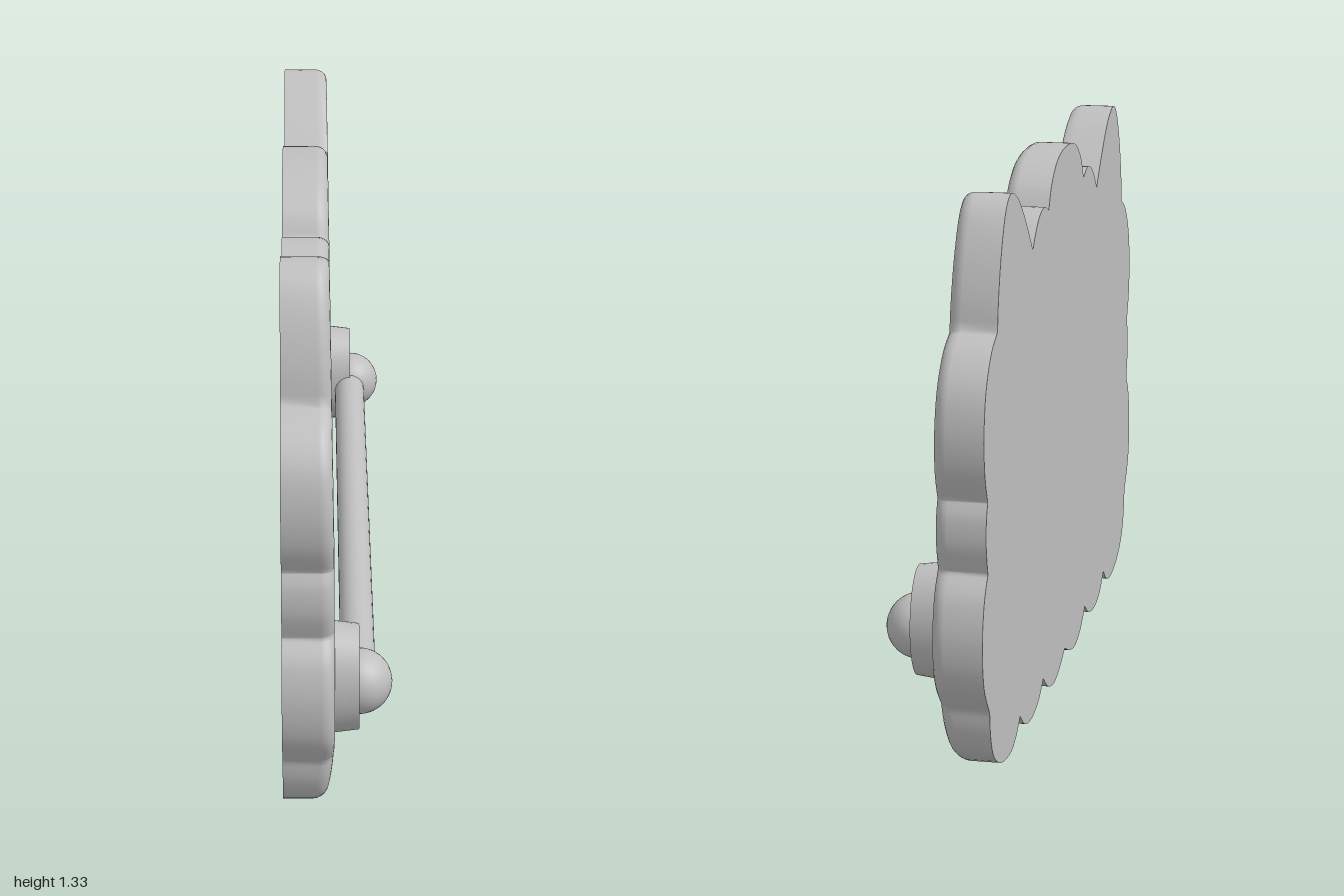
import * as THREE from 'three';

const CY = 0.585;      // height of the tray centre
const BACK = -0.127;   // flat back plane

// Scallops of one half, from top centre to bottom centre, as [z, y]
const LOBES = [
  [[0, 1.325], [0.07, 1.321], [0.14, 1.302], [0.2, 1.26], [0.235, 1.208]],
  [[0.235, 1.208], [0.29, 1.225], [0.35, 1.213], [0.4, 1.18], [0.43, 1.15]],
  [[0.43, 1.15], [0.5, 1.22], [0.58, 1.287], [0.645, 1.318], [0.695, 1.323], [0.745, 1.29], [0.79, 1.21], [0.82, 1.12], [0.832, 1.045]],
  [[0.832, 1.045], [0.9, 1.01], [0.955, 0.94], [0.977, 0.85], [0.97, 0.76], [0.94, 0.69]],
  [[0.94, 0.69], [0.955, 0.65], [0.957, 0.59], [0.94, 0.525]],
  [[0.94, 0.525], [0.98, 0.47], [1, 0.38], [0.985, 0.28], [0.925, 0.2]],
  [[0.925, 0.2], [0.915, 0.14], [0.88, 0.08], [0.8, 0.035], [0.69, 0.018], [0.62, 0.037], [0.58, 0.068]],
  [[0.58, 0.068], [0.52, 0.027], [0.44, 0.011], [0.35, 0.025], [0.29, 0.06]],
  [[0.29, 0.06], [0.23, 0.02], [0.15, 0.0], [0.07, 0.013], [0, 0.042]],
];

function makeOutline() {
  const half = [];
  for (const lobe of LOBES) {
    const pts = new THREE.SplineCurve(lobe.map(p => new THREE.Vector2(...p))).getPoints(22);
    half.push(...pts.slice(0, -1));
  }
  half.push(new THREE.Vector2(0, 0.042));
  const mirrored = half.slice(1, -1).reverse().map(p => new THREE.Vector2(-p.x, p.y));
  return [...half, ...mirrored];
}

// Front surface leans back towards the bottom and a little towards the top
function frontX(y) {
  const low = Math.max(0, (0.25 - y) / 0.25);
  const high = Math.max(0, (y - 0.7) / 0.6);
  return -0.009 - 0.03 * Math.pow(low, 1.5) - 0.009 * high;
}

// Move an outline point towards the tray centre
function inset(p, d) {
  const z = p.x, y = p.y - CY, k = 1 - d / Math.hypot(z, y);
  return [z * k, CY + y * k];
}

// Where the ray through p meets the rounded tray rectangle, shrunk by d
function trayPoint(p, d) {
  const len = Math.hypot(p.x, p.y - CY), dz = p.x / len, dy = (p.y - CY) / len;
  const r = 0.12;
  let lo = 0, hi = 1.5;
  for (let i = 0; i < 30; i++) {
    const t = (lo + hi) / 2;
    const qz = Math.abs(dz * t) - 0.77 + r, qy = Math.abs(dy * t) - 0.4 + r;
    const dist = Math.hypot(Math.max(qz, 0), Math.max(qy, 0)) + Math.min(Math.max(qz, qy), 0) - r;
    if (dist < -d) lo = t; else hi = t;
  }
  return [dz * lo, CY + dy * lo];
}

// Closed skin through rings of [x, y, z] points
function skin(rings) {
  const n = rings[0].length, index = [];
  for (let i = 0; i < rings.length - 1; i++) {
    for (let j = 0; j < n; j++) {
      const k = (j + 1) % n;
      const a = i * n + j, b = i * n + k, c = (i + 1) * n + k, d = (i + 1) * n + j;
      index.push(a, b, c, a, c, d);
    }
  }
  const geo = new THREE.BufferGeometry();
  geo.setAttribute('position', new THREE.Float32BufferAttribute(rings.flat(2), 3));
  geo.setIndex(index);
  geo.computeVertexNormals();
  return geo;
}

export function createModel() {
  const group = new THREE.Group();
  const grey = new THREE.MeshStandardMaterial({ color: 0xbfbfbf });
  grey.name = 'plain grey';
  const add = (name, geo, x = 0, y = 0, z = 0) => {
    const mesh = new THREE.Mesh(geo, grey);
    mesh.name = name;
    mesh.position.set(x, y, z);
    group.add(mesh);
    return mesh;
  };

  const outline = makeOutline();

  // Scalloped frame: side wall, rounded edge and front face
  const R = 0.03;
  const rim = [outline.map(p => [BACK, p.y, p.x])];
  for (let i = 0; i <= 5; i++) {
    const a = (i / 5) * Math.PI / 2;
    rim.push(outline.map(p => {
      const [z, y] = inset(p, R * (1 - Math.cos(a)));
      return [frontX(y) - R * (1 - Math.sin(a)), y, z];
    }));
  }
  const opening = outline.map(p => {
    const [z, y] = trayPoint(p, 0);
    return [frontX(y), y, z];
  });
  for (const t of [0.15, 0.4, 0.7]) {
    rim.push(outline.map((p, j) => {
      const [z, y] = inset(p, R);
      const yy = y + (opening[j][1] - y) * t;
      return [frontX(yy), yy, z + (opening[j][2] - z) * t];
    }));
  }
  rim.push(opening);
  add('scallopedFrame', skin(rim));

  // Flat back
  add('backPanel', skin([outline.map(() => [BACK, CY, 0]), outline.map(p => [BACK, p.y, p.x])]));

  // Dished tray
  const dish = [opening];
  for (const [d, x] of [[0.015, -0.035], [0.04, -0.058], [0.08, -0.073], [0.15, -0.081], [0.27, -0.085]]) {
    dish.push(outline.map(p => {
      const [z, y] = trayPoint(p, d);
      return [x, y, z];
    }));
  }
  dish.push(outline.map(() => [-0.087, CY, 0]));
  add('dishedTray', skin(dish));

  // Rail with a bracket and a round knob at each end
  const rail = add('rail', new THREE.CylinderGeometry(0.04, 0.04, 1.7, 32), 0.045, 0.37, 0);
  rail.rotation.x = Math.PI / 2;
  for (const side of [1, -1]) {
    const end = side > 0 ? 'left' : 'right';
    const geo = new THREE.CylinderGeometry(0.93, 1, 0.075, 40);
    geo.rotateZ(-Math.PI / 2);
    geo.scale(1, 0.137, 0.097);
    add(end + 'Bracket', geo, 0.009, 0.388, side * 0.865);
    add(end + 'Knob', new THREE.SphereGeometry(0.075, 32, 20), 0.047, 0.37, side * 0.853);
  }
  return group;
}
